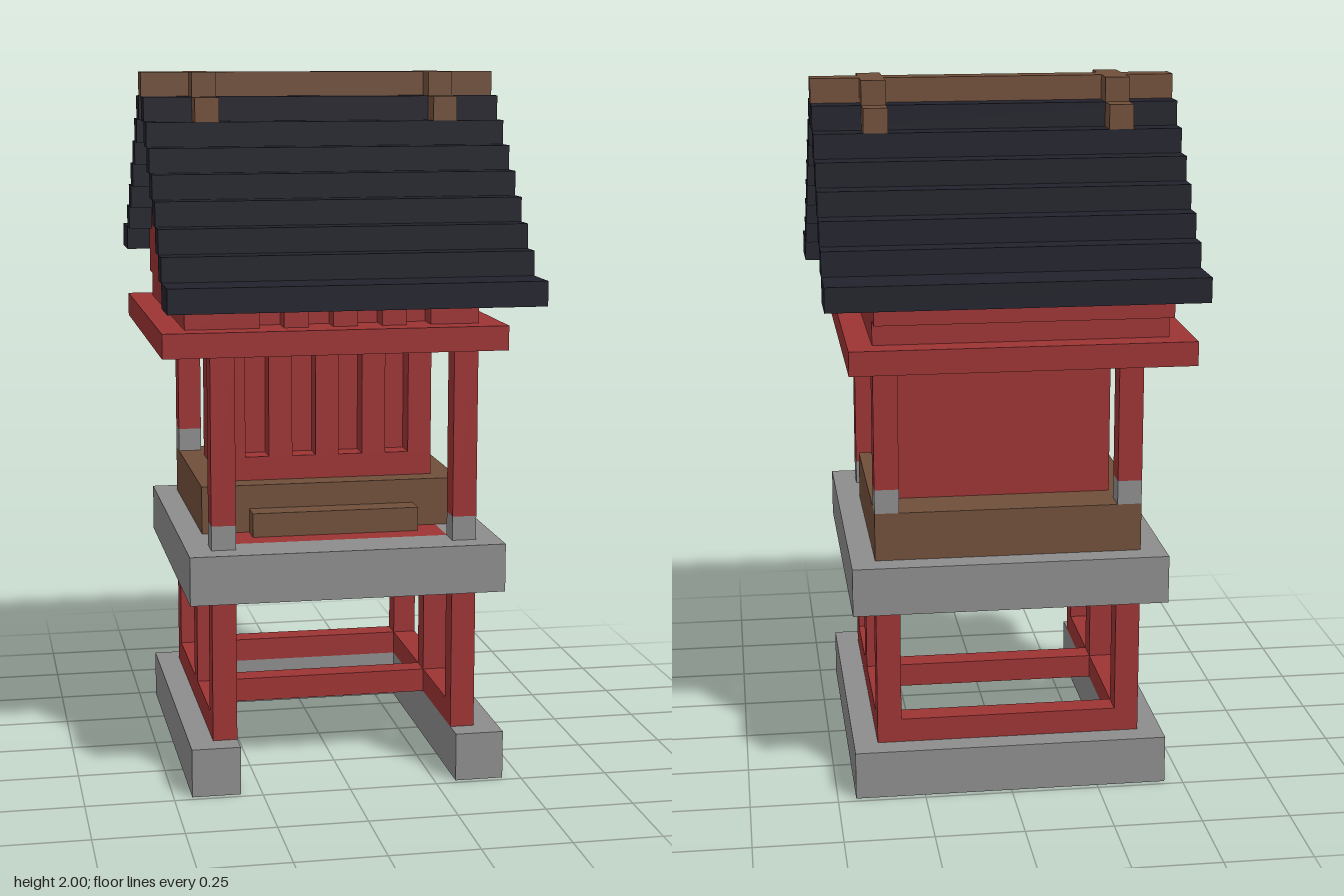
import * as THREE from 'three';

const U = 2 / 29; // one block

export function createModel() {
  const root = new THREE.Group();
  root.name = 'shrine';
  const material = (name, color) => {
    const m = new THREE.MeshStandardMaterial({ color });
    m.name = name;
    return m;
  };
  const red = material('red wood', 0x9c3434);
  const stone = material('grey stone', 0x8c8c8c);
  const wood = material('brown wood', 0x704f3a);
  const tile = material('dark roof tile', 0x22222c);

  // Box between two corners, measured in blocks
  function box(name, mat, x0, x1, y0, y1, z0, z1) {
    const g = new THREE.BoxGeometry((x1 - x0) * U, (y1 - y0) * U, (z1 - z0) * U);
    g.translate((x0 + x1) * U / 2, (y0 + y1) * U / 2, (z0 + z1) * U / 2);
    const mesh = new THREE.Mesh(g, mat);
    mesh.name = name;
    root.add(mesh);
  }
  // The same box on both sides of x = 0
  function pair(name, mat, x0, x1, ...rest) {
    box(name, mat, x0, x1, ...rest);
    box(name, mat, -x1, -x0, ...rest);
  }

  // U-shaped foundation, open at the front
  pair('foundationSide', stone, 4.5, 6.5, 0, 2, -7, 7);
  box('foundationBack', stone, -4.5, 4.5, 0, 2, -7, -5);

  // Lower frame
  for (const z of [5, 0, -6]) pair('lowerPost', red, 4.5, 5.5, 2, 8, z, z + 1);
  pair('sideSill', red, 4.5, 5.5, 2, 3, -5, 0);
  pair('sideSill', red, 4.5, 5.5, 2, 3, 1, 5);
  for (const z of [0, -6]) box('crossSill', red, -4.5, 4.5, 2, 3, z, z + 1);

  // Platform: stone border with a red floor
  pair('platformSide', stone, 4.5, 6.5, 8, 10, -7, 7);
  box('platformFront', stone, -4.5, 4.5, 8, 10, 5, 7);
  box('platformBack', stone, -4.5, 4.5, 8, 10, -7, -5);
  box('platformFloor', red, -4.5, 4.5, 8, 10, -5, 5);

  // Wooden dais with a step
  box('dais', wood, -5.5, 5.5, 10, 12, -6, 3);
  box('daisStep', wood, -3.5, 3.5, 10, 11, 3, 4);

  // Upper posts on stone feet
  for (const [z, y] of [[5, 10], [-6, 12]]) {
    pair('postFoot', stone, 4.5, 5.5, y, y + 1, z, z + 1);
    pair('upperPost', red, 4.5, 5.5, y + 1, 18, z, z + 1);
  }

  // Chamber with four slots in the front
  box('chamber', red, -4.5, 4.5, 12, 18, -4, 1);
  box('chamberFrontSill', red, -4.5, 4.5, 12, 13, 1, 2);
  for (const [a, b] of [[-4.5, -3.5], [-2.5, -1.5], [-0.5, 0.5], [1.5, 2.5], [3.5, 4.5]]) {
    box('chamberSlat', red, a, b, 13, 18, 1, 2);
  }

  // Eave beam and the slotted course above it
  box('eaveBeam', red, -7.5, 6.5, 18, 19, -7, 7);
  box('upperCourse', red, -6.5, 5.5, 19, 20, -6, 5);
  for (const [a, b] of [[-6.5, -3.5], [-2.5, -1.5], [-0.5, 0.5], [1.5, 2.5], [3.5, 5.5]]) {
    box('upperCourseSlat', red, a, b, 19, 20, 5, 6);
  }

  // Stepped gable
  box('gable', red, -6.5, 5.5, 20, 22, -7, 6);
  for (let i = 0; i < 5; i++) {
    box('gable', red, -6.5, 5.5, 22 + i, 23 + i, i - 6, 5 - i);
  }

  // Stepped roof, front eave one course lower than the back
  box('frontEave', tile, -7.5, 7.5, 20, 21, 7, 9);
  box('backEave', tile, -7.5, 7.5, 21, 22, -9, -7);
  for (let y = 21; y < 28; y++) {
    box('frontTileRow', tile, -7.5, 7.5, y, y + 1, 27 - y, 28 - y);
    if (y > 21) box('backTileRow', tile, -7.5, 7.5, y, y + 1, y - 29, y - 28);
  }

  // Ridge beam with two saddle pieces
  box('ridgeBeam', wood, -7.5, 7.5, 28, 29, -1, 0);
  for (const [z, y] of [[0, 28], [1, 27], [-2, 28], [-3, 27]]) {
    pair('ridgeSaddle', wood, 4.5, 5.5, y, y + 1, z, z + 1);
  }

  return root;
}
